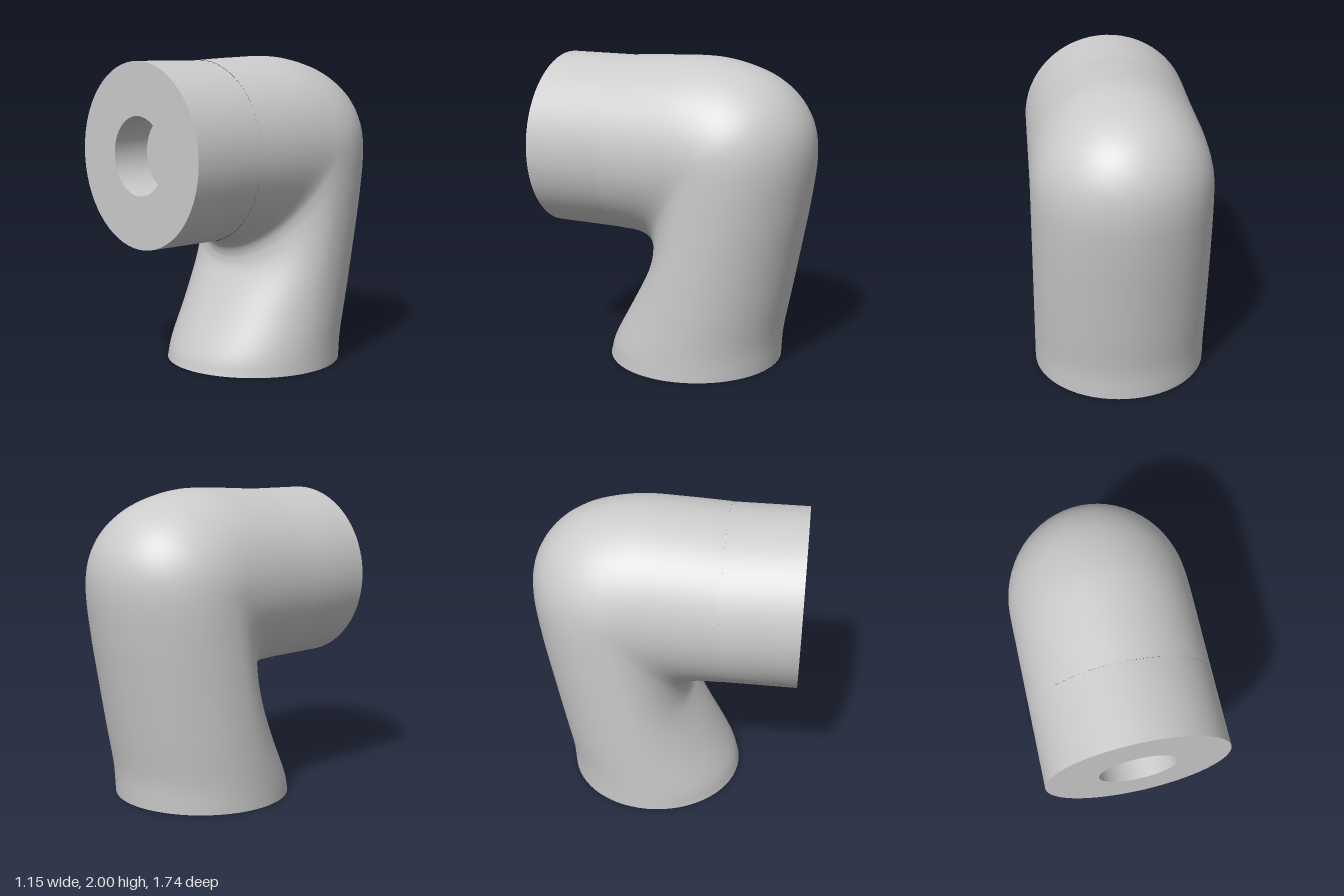
import * as THREE from 'three';
import { toCreasedNormals } from 'three/addons/utils/BufferGeometryUtils.js';

const R = 0.575, HOLE = 0.245, DEPTH = 0.25;

// Elbow sections as [z, y] pairs: outer edge, widest point, inner edge
const SECTIONS = [
  [-0.645, 0, -0.07, 0, 0.505, 0],
  [-0.66, 0.2, -0.09, 0.15, 0.465, 0.12],
  [-0.71, 0.46, -0.15, 0.4, 0.33, 0.36],
  [-0.775, 0.8, -0.21, 0.7, 0.215, 0.56],
  [-0.83, 1.1, -0.26, 0.98, 0.175, 0.64],
  [-0.865, 1.38, -0.29, 1.22, 0.167, 0.69],
  [-0.845, 1.58, -0.29, 1.33, 0.17, 0.72],
  [-0.76, 1.745, -0.28, 1.38, 0.18, 0.75],
  [-0.63, 1.865, -0.25, 1.4, 0.197, 0.775],
  [-0.45, 1.95, -0.19, 1.41, 0.225, 0.797],
  [-0.2, 2.0, -0.05, 1.41, 0.27, 0.815],
  [0.1, 1.995, 0.15, 1.405, 0.32, 0.823],
  [0.38, 1.98, 0.38, 1.403, 0.38, 0.825],
];

// Egg-shaped rings lofted through the interpolated sections
function elbowGeometry(rings = 72, sides = 64) {
  const [outer, centre, inner] = [0, 2, 4].map((k) =>
    new THREE.CatmullRomCurve3(
      SECTIONS.map((s) => new THREE.Vector3(0, s[k + 1], s[k])), false, 'catmullrom', 0.5));
  const pos = [], index = [];
  for (let i = 0; i <= rings; i++) {
    const u = i / rings;
    const c = centre.getPoint(u), o = outer.getPoint(u), n = inner.getPoint(u);
    for (let j = 0; j < sides; j++) {
      const t = (j / sides) * Math.PI * 2;
      const p = c.clone().lerp(Math.cos(t) > 0 ? o : n, Math.abs(Math.cos(t)));
      pos.push(R * Math.sin(t), p.y, p.z);
      if (i < rings) {
        const a = i * sides + j, b = i * sides + (j + 1) % sides;
        index.push(a, a + sides, b, b, a + sides, b + sides);
      }
    }
  }
  const geo = new THREE.BufferGeometry();
  geo.setAttribute('position', new THREE.Float32BufferAttribute(pos, 3));
  geo.setIndex(index);
  geo.computeVertexNormals();
  return geo;
}

// Flat end face with a blind round hole, plus an optional straight collar
function endGeometry(collar) {
  const profile = [[0, DEPTH], [HOLE, DEPTH], [HOLE, 0], [R, 0]];
  if (collar) profile.push([R, collar]);
  const lathe = new THREE.LatheGeometry(profile.map(([x, y]) => new THREE.Vector2(x, y)), 64);
  return toCreasedNormals(lathe, Math.PI / 5);
}

export function createModel() {
  const group = new THREE.Group();
  group.name = 'pipeElbow';
  const material = new THREE.MeshStandardMaterial({ color: 0xcccccc });
  const add = (name, geometry) => {
    const mesh = new THREE.Mesh(geometry, material);
    mesh.name = name;
    group.add(mesh);
    return mesh;
  };

  add('elbowBody', elbowGeometry());

  add('bottomEnd', endGeometry(0)).position.z = -0.07;

  const front = add('frontCollar', endGeometry(0.49));
  front.rotation.x = -Math.PI / 2;
  front.position.set(0, 1.403, 0.87);

  return group;
}
